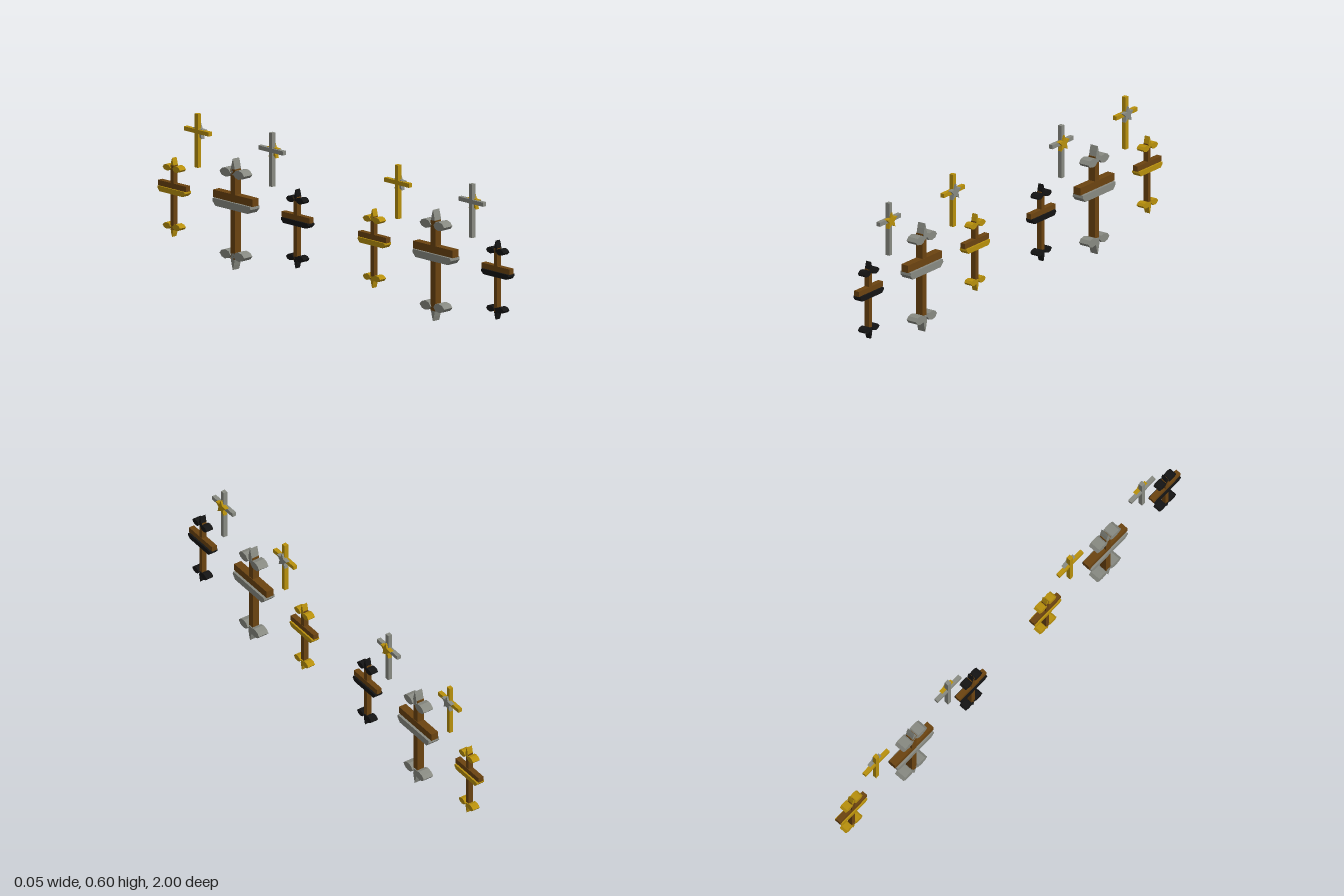
import * as THREE from 'three';

const paint = (color) => new THREE.MeshStandardMaterial({ color, flatShading: true });
const WOOD = paint(0x6b4310), GOLD = paint(0xb8900c), SILVER = paint(0x888a82), BLACK = paint(0x141414);

// Side outline [z, y] extruded along x, centred at the given x
function slab(name, points, depth, material, x = 0) {
  const shape = new THREE.Shape(points.map(([z, y]) => new THREE.Vector2(-z, y)));
  const geometry = new THREE.ExtrudeGeometry(shape, { depth, bevelEnabled: false });
  geometry.translate(0, 0, -depth / 2).rotateY(Math.PI / 2).translate(x, 0, 0);
  const mesh = new THREE.Mesh(geometry, material);
  mesh.name = name;
  return mesh;
}

function box(name, w, h, d, material, x, y) {
  const mesh = new THREE.Mesh(new THREE.BoxGeometry(w, h, d), material);
  mesh.position.set(x, y, 0);
  mesh.name = name;
  return mesh;
}

// Wooden cross with metal petal finials and an under-rail, centred on its origin
function ornateCross(name, metal) {
  const group = new THREE.Group();
  group.name = name;
  group.add(box('post', 0.031, 0.37, 0.027, WOOD, -0.002, 0));
  group.add(box('crossbar', 0.033, 0.031, 0.224, WOOD, -0.001, 0.066));
  const rail = [[0.106, 0.05], [0.108, 0.038], [0.092, 0.02], [-0.092, 0.02], [-0.108, 0.038], [-0.106, 0.05]];
  group.add(slab('underRail', rail, 0.051, metal));
  for (const end of [1, -1]) {
    // pointed leaf at the end of the post
    const leaf = [[0, 0.228], [0.006, 0.208], [0.011, 0.186], [0.007, 0.16],
      [-0.007, 0.16], [-0.011, 0.186], [-0.006, 0.208]];
    group.add(slab('endLeaf', leaf.map(([z, y]) => [z, y * end]), 0.035, metal));
    // pair of curled petals
    for (const side of [1, -1]) {
      const petal = [[0.008, 0.168], [0.02, 0.182], [0.04, 0.186], [0.058, 0.181], [0.07, 0.167],
        [0.058, 0.154], [0.035, 0.149], [0.018, 0.154]];
      group.add(slab('petal', petal.map(([z, y]) => [z * side, y * end]), 0.046, metal));
    }
  }
  return group;
}

// Plain cross with a five-pointed star on its +x face
function starCross(name, metal, starMetal) {
  const group = new THREE.Group();
  group.name = name;
  group.add(box('post', 0.018, 0.22, 0.018, metal, -0.005, 0.49));
  group.add(box('crossbar', 0.0176, 0.017, 0.14, metal, -0.005, 0.528));
  const star = [];
  for (let i = 0; i < 10; i++) {
    const r = i % 2 ? 0.016 : 0.035, a = (i * Math.PI) / 5;
    star.push([r * Math.sin(a), 0.526 + r * Math.cos(a)]);
  }
  group.add(slab('star', star, 0.017, starMetal, 0.0035));
  return group;
}

export function createModel() {
  const model = new THREE.Group();
  model.name = 'crossSet';
  for (const centre of [0.569, -0.569]) {
    const set = new THREE.Group();
    set.name = 'crossGroup';
    const add = (part, y, z, scale = 1) => {
      part.position.set(0, y, z);
      part.scale.setScalar(scale);
      set.add(part);
    };
    add(ornateCross('largeSilverCross', SILVER), 0.228, 0);
    add(ornateCross('smallBlackCross', BLACK), 0.232, 0.351, 0.71);
    add(ornateCross('smallGoldCross', GOLD), 0.232, -0.351, 0.71);
    add(starCross('silverStarCross', SILVER, GOLD), 0, 0.211);
    add(starCross('goldStarCross', GOLD, SILVER), 0, -0.211);
    set.position.z = centre;
    model.add(set);
  }
  return model;
}
